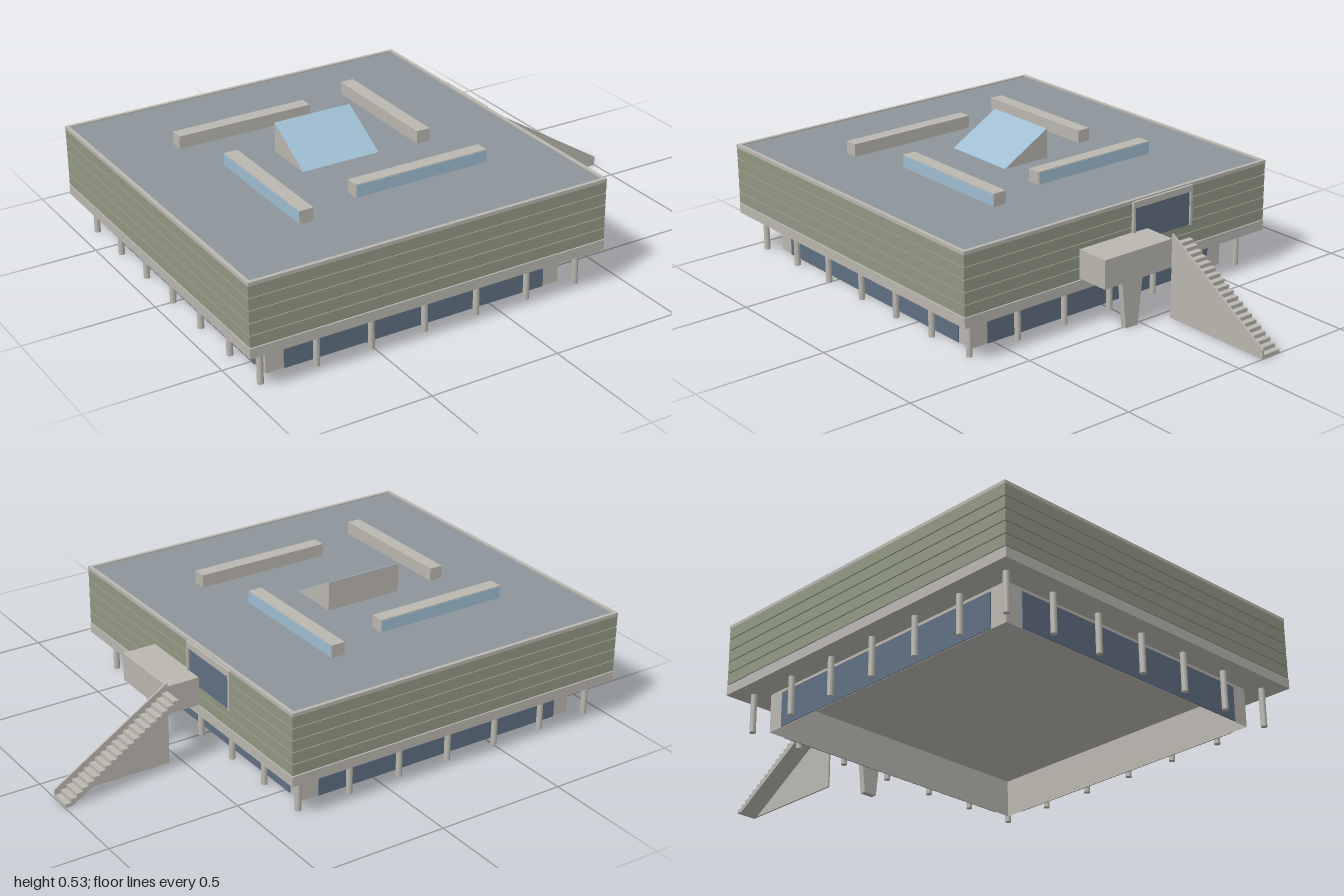
import * as THREE from 'three';

const mat = (name, color) => {
  const m = new THREE.MeshStandardMaterial({ color });
  m.name = name;
  return m;
};

export function createModel() {
  const model = new THREE.Group();
  model.name = 'pavilion';
  const concrete = mat('concrete', 0xbab7b0);
  const shell = mat('thinConcrete', 0xbab7b0);
  shell.side = THREE.DoubleSide;
  const siding = mat('greenSiding', 0x929883);
  const glass = mat('darkGlass', 0x5f6f82);
  const skyGlass = mat('skylightGlass', 0x9fbdd1);
  const deckGrey = mat('roofDeck', 0x8d959c);

  const CX = -0.294, HALF = 0.706;

  const add = (name, geo, material, parent = model) => {
    const m = new THREE.Mesh(geo, material);
    m.name = name;
    parent.add(m);
    return m;
  };
  // Box given by its limits on each axis
  const box = (name, x0, x1, y0, y1, z0, z1, material, parent) => {
    const m = add(name, new THREE.BoxGeometry(x1 - x0, y1 - y0, z1 - z0), material, parent);
    m.position.set((x0 + x1) / 2, (y0 + y1) / 2, (z0 + z1) / 2);
    return m;
  };
  // Square block centred on the building
  const block = (name, h, y0, y1, material) =>
    box(name, CX - h, CX + h, y0, y1, -h, h, material);
  // Side profile in x-y, extruded along z
  const profile = (points, z0, z1) => {
    const s = new THREE.Shape(points.map(([x, y]) => new THREE.Vector2(x, y)));
    return new THREE.ExtrudeGeometry(s, { depth: z1 - z0, bevelEnabled: false }).translate(0, 0, z0);
  };

  // Ground floor: hollow wall ring with a wide window on each side
  for (let i = 0; i < 4; i++) {
    const side = new THREE.Group();
    side.name = 'groundFloorSide';
    side.position.x = CX;
    side.rotation.y = (i * Math.PI) / 2;
    model.add(side);
    add('groundWall', new THREE.PlaneGeometry(1.186, 0.147), shell, side).position.set(0, 0.0735, 0.593);
    box('groundWindow', -0.525, 0.525, 0.001, 0.132, 0.594, 0.598, glass, side);
  }

  // Columns around the perimeter
  const columnGeo = new THREE.CylinderGeometry(0.0115, 0.0115, 0.147, 12);
  for (let i = 0; i < 7; i++) {
    for (let j = 0; j < 7; j++) {
      if (i % 6 && j % 6) continue;
      add('column', columnGeo, concrete).position.set(CX + (i - 3) * 0.212, 0.0735, (j - 3) * 0.212);
    }
  }

  // Upper floor: slab, core and stacked siding boards
  block('floorSlab', HALF, 0.146, 0.184, concrete);
  block('upperCore', HALF - 0.006, 0.184, 0.41, siding);
  const boards = 5, pitch = 0.226 / boards;
  for (let i = 0; i < boards; i++) {
    const y = 0.184 + i * pitch;
    block('sidingBoard', HALF - 0.001, y + 0.004, y + pitch, siding);
  }

  // Roof: deck framed by a low rim
  block('roofEdge', HALF, 0.41, 0.415, concrete);
  block('roofDeck', HALF - 0.014, 0.415, 0.418, deckGrey);
  for (const s of [-1, 1]) {
    const a = HALF - 0.014, z = [s * a, s * HALF].sort((p, q) => p - q);
    box('roofRim', CX - HALF, CX + HALF, 0.415, 0.423, z[0], z[1], concrete);
    box('roofRim', CX + z[0], CX + z[1], 0.415, 0.423, -a, a, concrete);
  }

  // Four clerestories in a pinwheel, glazed on the outer face
  for (let i = 0; i < 4; i++) {
    const clerestory = new THREE.Group();
    clerestory.name = 'clerestory';
    clerestory.position.x = CX;
    clerestory.rotation.y = (i * Math.PI) / 2;
    box('clerestoryBody', -0.103, 0.434, 0.416, 0.467, 0.31, 0.363, concrete, clerestory);
    box('clerestoryGlass', -0.101, 0.432, 0.42, 0.464, 0.362, 0.365, skyGlass, clerestory);
    model.add(clerestory);
  }

  // Central wedge skylight with a sloping pane facing the front
  const wedge = profile([[-0.09, 0.416], [0.11, 0.416], [0.11, 0.53]], -0.155, 0.155);
  wedge.rotateY(Math.PI / 2);
  add('skylightBody', wedge, concrete).position.x = CX;
  const slope = Math.hypot(0.2, 0.114);
  const pane = add('skylightPane', new THREE.BoxGeometry(0.31, 0.003, slope), skyGlass);
  pane.position.set(CX, 0.474, -0.01);
  pane.rotation.x = Math.atan2(0.114, 0.2);

  // Entrance window with a shallow frame on the left wall
  const wallX = CX + HALF;
  box('entranceGlass', wallX - 0.003, wallX + 0.003, 0.264, 0.396, -0.316, -0.05, glass);
  box('entranceLintel', wallX - 0.004, 0.422, 0.394, 0.418, -0.326, -0.04, concrete);
  for (const z of [-0.326, -0.05]) {
    box('entranceJamb', wallX - 0.004, 0.422, 0.264, 0.394, z, z + 0.01, concrete);
  }

  // Landing on a tapered pier
  box('landing', wallX - 0.002, 0.545, 0.193, 0.302, -0.112, 0.202, concrete);
  const pier = new THREE.Shape([[-0.028, 0], [0.028, 0], [0.049, 0.195], [-0.049, 0.195]]
    .map(([x, y]) => new THREE.Vector2(x, y)));
  const pierGeo = new THREE.ExtrudeGeometry(pier, { depth: 0.024, bevelEnabled: false });
  const pierMesh = add('landingPier', pierGeo.rotateY(Math.PI / 2), concrete);
  pierMesh.position.set(0.49, 0, 0.046);

  // Stair: solid side wall and a sawtooth flight with a sloping underside
  add('stairWall', profile([[0.545, 0], [1, 0], [1, 0.035], [0.545, 0.32]], -0.117, -0.11), concrete);
  const steps = 20, run = 0.455 / steps, rise = 0.286 / steps;
  const flight = [[0.545, 0.286]];
  for (let i = 0; i < steps; i++) {
    const x = 0.545 + (i + 1) * run, y = 0.286 - i * rise;
    flight.push([x, y]);
    if (i < steps - 1) flight.push([x, y - rise]);
  }
  flight.push([1, 0], [0.975, 0], [0.545, 0.262]);
  add('stairFlight', profile(flight.reverse(), -0.194, -0.117), concrete);

  return model;
}
